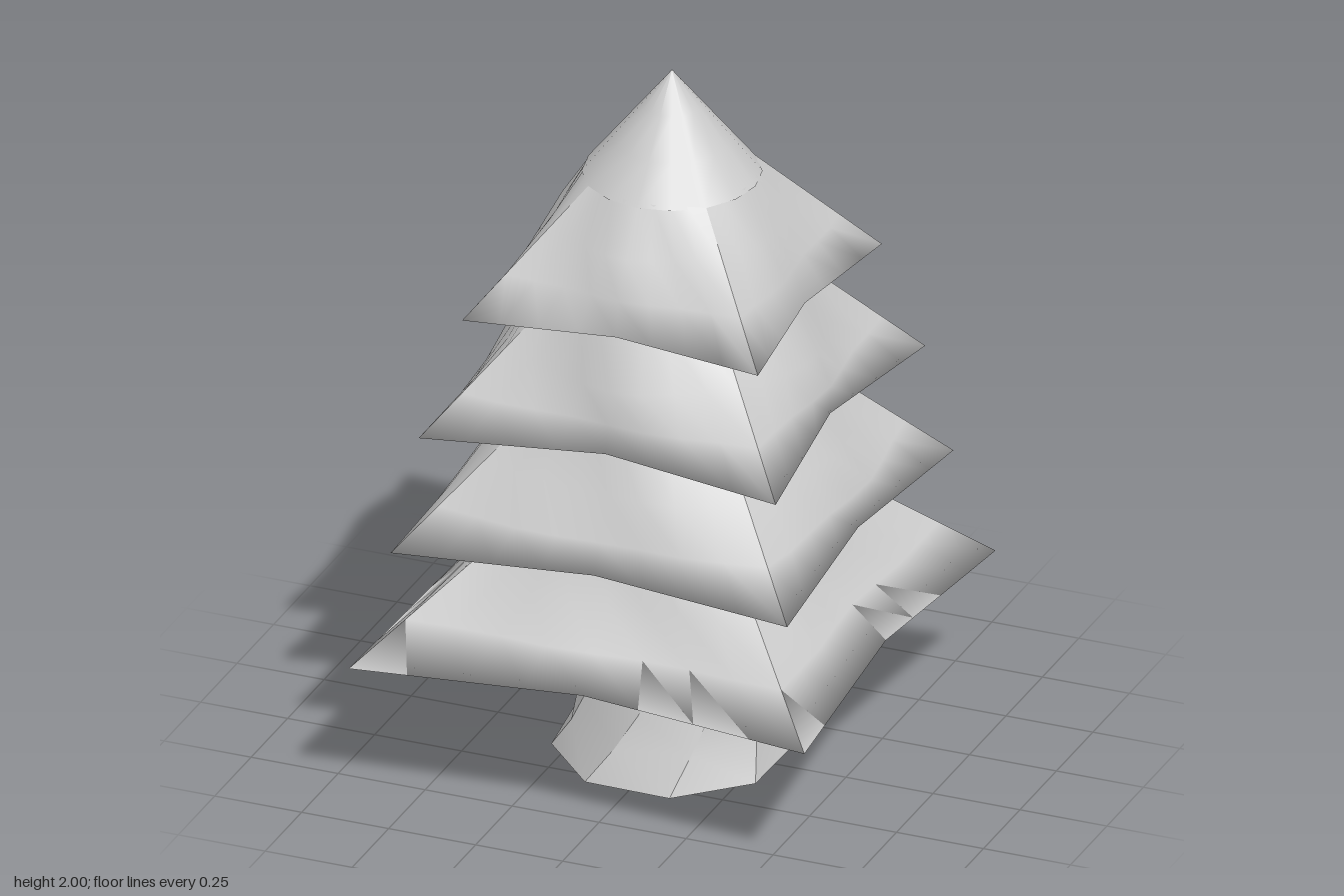
import * as THREE from 'three';
import { mergeGeometries } from 'three/addons/utils/BufferGeometryUtils.js';

const SEG = 8;

// Smooth grid patch through point(row, u), u from 0 to 1; rows run upwards
function patch(rows, cols, point) {
  const pos = [], index = [];
  for (let i = 0; i < rows; i++) {
    for (let j = 0; j <= cols; j++) {
      pos.push(...point(i, j / cols));
      if (i === rows - 1 || j === cols) continue;
      const a = i * (cols + 1) + j, c = a + cols + 1;
      index.push(a, a + 1, c, a + 1, c + 1, c);
    }
  }
  const g = new THREE.BufferGeometry();
  g.setAttribute('position', new THREE.Float32BufferAttribute(pos, 3));
  g.setIndex(index);
  g.computeVertexNormals();
  return g;
}

// Ring row: corner offset c at height yc, mid-side offset m at height ym,
// power 1 = straight V edge, 2 = rounded; wobble = uneven foliage
const row = (c, yc, m, ym, power = 2, wobble = 0) => ({ c, yc, m, ym, power, wobble });

// Four mirrored side patches with sharp ridges between them
function fourSides(rows, seed) {
  const sides = [];
  for (let s = 0; s < 4; s++) {
    const g = patch(rows.length, SEG, (i, t) => {
      const r = rows[i], u = t * 2 - 1;
      const k = 1 - Math.abs(u) ** r.power;
      const w = r.wobble * (1 - u * u) * Math.sin(s * 2.1 + seed * 1.7 + u * 5 + i * 1.3);
      return [u * r.c, r.yc + (r.ym - r.yc) * k, r.c + (r.m - r.c) * k + w];
    });
    sides.push(g.rotateY(s * Math.PI / 2));
  }
  return mergeGeometries(sides);
}

export function createModel() {
  const tree = new THREE.Group();
  tree.name = 'tree';
  const material = new THREE.MeshStandardMaterial({ color: 0xcccccc });
  const add = (name, geometry) => {
    const mesh = new THREE.Mesh(geometry, material);
    mesh.name = name;
    tree.add(mesh);
  };

  // Twisted eight-sided trunk: [radius, height, twist in degrees]
  const trunk = [[0.32, 0, -1], [0.272, 0.1, 11], [0.252, 0.2, 24], [0.222, 0.33, 41], [0.212, 0.48, 58]];
  const trunkPoint = (i, side) => {
    const [r, y, twist] = trunk[i];
    const a = (side - 0.5) * Math.PI / 4 + THREE.MathUtils.degToRad(twist);
    return new THREE.Vector3(r * Math.sin(a), y, r * Math.cos(a));
  };
  const bark = [];
  for (let s = 0; s < 8; s++) {
    bark.push(patch(trunk.length, 1, (i, t) =>
      trunkPoint(i, s).lerp(trunkPoint(i, s + 1), t).toArray()));
  }
  add('trunk', mergeGeometries(bark));
  const base = new THREE.CircleGeometry(0.32, 8, Math.PI / 8);
  base.rotateX(Math.PI / 2);
  add('trunkBase', base);

  // Foliage tiers: lip, two bulging rows (mid-side offset and height), top ring
  const tiers = [
    { lip: [0.655, 0.4, 0.615, 0.428], bulge: [[0.53, 0.515], [0.45, 0.62]], top: [0.31, 0.745, 0.38, 0.765] },
    { lip: [0.57, 0.72, 0.535, 0.747], bulge: [[0.515, 0.83], [0.45, 0.94]], top: [0.28, 1.06, 0.37, 1.075] },
    { lip: [0.513, 1.045, 0.455, 1.07], bulge: [[0.445, 1.15], [0.42, 1.24]], top: [0.25, 1.375, 0.35, 1.39] },
    { lip: [0.425, 1.37, 0.382, 1.382], bulge: [[0.355, 1.48], [0.31, 1.58]], top: [0.162, 1.71, 0.229, 1.71] },
  ];
  let inner = row(0.147, 0.46, 0.208, 0.46);
  tiers.forEach(({ lip, bulge, top }, n) => {
    const topRow = row(...top);
    const [c0, y0] = lip, [c1, y1] = top;
    // Underside and outside share the lip row, so the lip shades softly
    const rows = [inner, row(...lip, 1)];
    bulge.forEach(([m, y], i) => {
      const t = (i + 1) / 3;
      rows.push(row(c0 + (c1 - c0) * t, y0 + (y1 - y0) * t, m, y, 1.6, 0.012));
    });
    rows.push(topRow);
    add('tier' + (n + 1), fourSides(rows, n));
    inner = topRow;
  });

  // Smooth round tip sitting on the top ring
  add('tip', new THREE.ConeGeometry(0.24, 0.3, 16, 3, true).translate(0, 1.85, 0));
  return tree;
}
